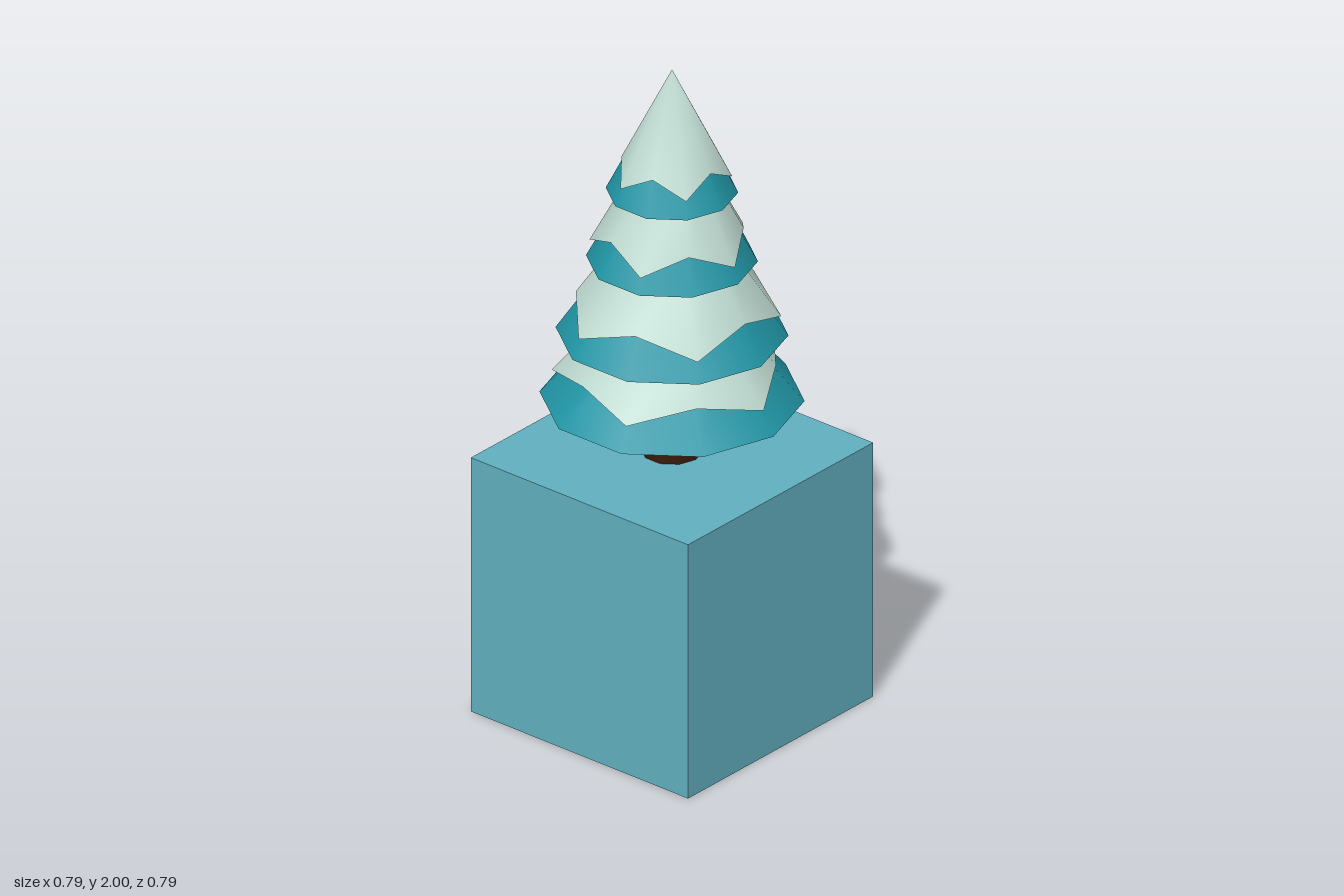
import * as THREE from 'three';
import { mergeVertices } from 'three/addons/utils/BufferGeometryUtils.js';

const SIDES = 10;

function mat(name, color, side = THREE.FrontSide) {
  const m = new THREE.MeshStandardMaterial({ color, side });
  m.name = name;
  return m;
}

// Snow skirt whose lower rim zigzags between a low and a high point
function snowGeometry(topR, topY, low, high, lowFirst) {
  const geo = new THREE.CylinderGeometry(topR, 1, 1, SIDES, 1, true);
  const p = geo.attributes.position;
  for (let i = 0; i < p.count; i++) {
    if (p.getY(i) > 0) {
      p.setY(i, topY);
      continue;
    }
    const step = (i - (SIDES + 1)) % SIDES;
    const [r, y] = (step % 2 === 0) === lowFirst ? low : high;
    const a = (step / SIDES) * Math.PI * 2;
    p.setXYZ(i, Math.sin(a) * r, y, Math.cos(a) * r);
  }
  geo.deleteAttribute('uv');
  geo.deleteAttribute('normal');
  const smooth = mergeVertices(geo, 1e-4);
  smooth.computeVertexNormals();
  return smooth;
}

export function createModel() {
  const group = new THREE.Group();
  const block = mat('light blue block', 0x62b0c0);
  const needles = mat('teal needles', 0x2196a6);
  const snow = mat('pale snow', 0xc0dcd2, THREE.DoubleSide);
  const bark = mat('dark bark', 0x3a1a0a);

  function add(name, geo, material, y = 0) {
    const mesh = new THREE.Mesh(geo, material);
    mesh.name = name;
    mesh.position.y = y;
    group.add(mesh);
  }

  add('baseBlock', new THREE.BoxGeometry(0.794, 0.8, 0.794), block, 0.4);
  add('trunk', new THREE.CylinderGeometry(0.087, 0.087, 0.2, SIDES), bark, 0.9);

  // Tiers from bottom to top; low and high are [radius, height] of the snow rim
  const tiers = [
    { y: 0.97, r: 0.37, topY: 1.23, topR: 0.16, snowR: 0.175, low: [0.335, 1.04], high: [0.29, 1.08] },
    { y: 1.175, r: 0.325, topY: 1.46, topR: 0.137, snowR: 0.15, low: [0.305, 1.235], high: [0.268, 1.29] },
    { y: 1.405, r: 0.24, topY: 1.67, topR: 0.105, snowR: 0.115, low: [0.23, 1.455], high: [0.2, 1.51] },
    { y: 1.62, r: 0.185, topY: 2, topR: 0, snowR: 0, low: [0.168, 1.67], high: [0.141, 1.72] },
  ];
  tiers.forEach((t, i) => {
    const top = t.topY - 0.01;
    const h = top - t.y;
    add(`needleTier${i + 1}`, new THREE.CylinderGeometry(t.topR, t.r, h, SIDES), needles, t.y + h / 2);
    add(`snowTier${i + 1}`, snowGeometry(t.snowR, t.topY, t.low, t.high, i % 2 === 0), snow);
  });

  return group;
}
